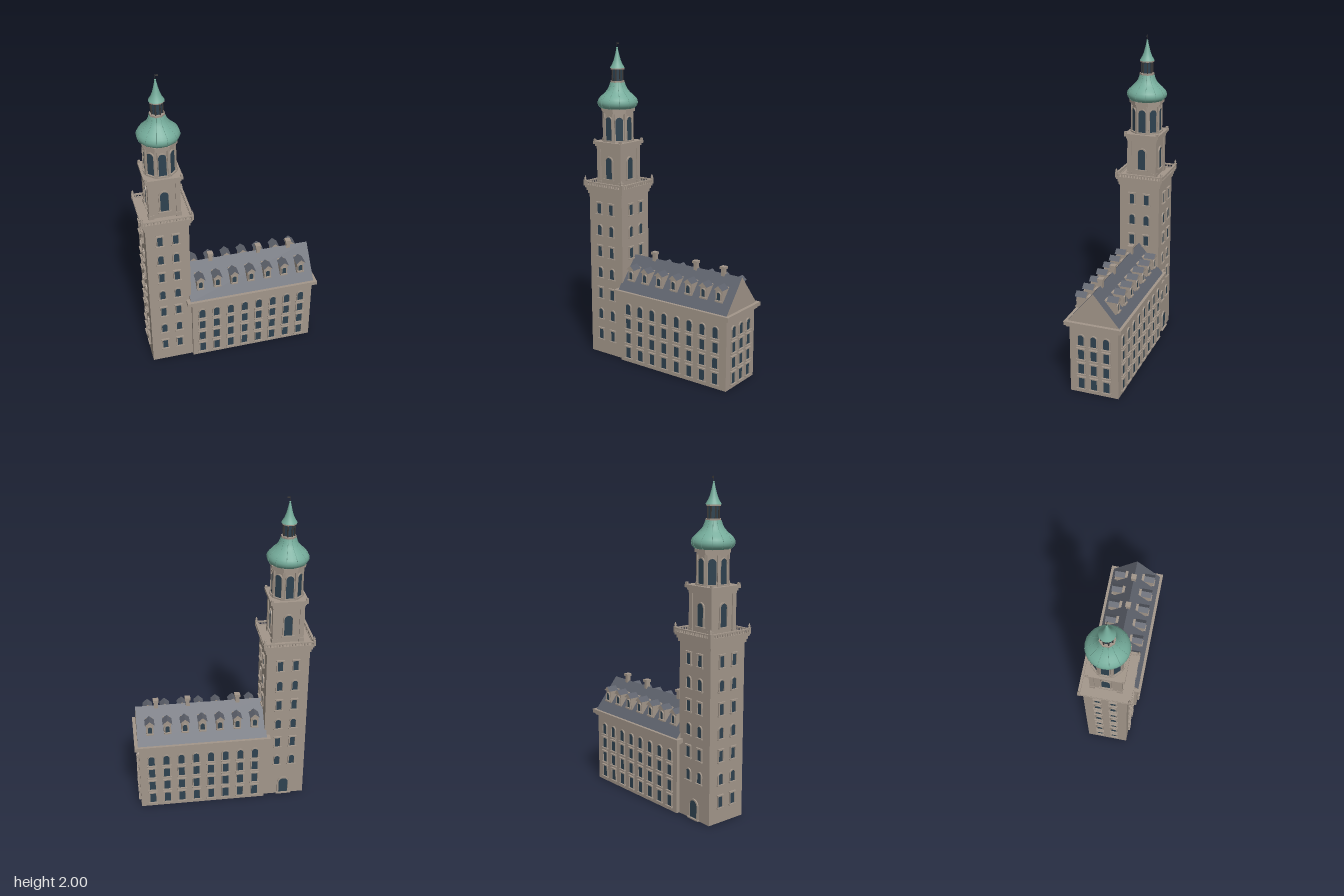
import * as THREE from 'three';

const mat = (name, color) => {
  const m = new THREE.MeshStandardMaterial({ color, side: THREE.DoubleSide });
  m.name = name;
  return m;
};

export function createModel() {
  const stone = mat('stone', 0xa2968a);
  const slate = mat('slate', 0x5e626c);
  const copper = mat('green copper', 0x74ab9a);
  const glass = mat('dark glass', 0x2e4250);
  const iron = mat('dark iron', 0x3c3a3a);
  const model = new THREE.Group();
  model.name = 'towerAndWing';

  const group = (name, parent, x = 0, y = 0, z = 0) => {
    const g = new THREE.Group();
    g.name = name;
    g.position.set(x, y, z);
    parent.add(g);
    return g;
  };
  const add = (parent, name, geo, material, x = 0, y = 0, z = 0) => {
    const m = new THREE.Mesh(geo, material);
    m.name = name;
    m.position.set(x, y, z);
    parent.add(m);
    return m;
  };
  // box given by its bottom and top height
  const block = (parent, name, w, y0, y1, d, material = stone, x = 0, z = 0) =>
    add(parent, name, new THREE.BoxGeometry(w, y1 - y0, d), material, x, (y0 + y1) / 2, z);
  // box without a floor
  const shell = (...args) => {
    const m = block(...args);
    const index = Array.from(m.geometry.index.array);
    index.splice(18, 6);
    m.geometry.setIndex(index);
    m.geometry.clearGroups();
    return m;
  };
  const flat = (geo) => {
    const g = geo.toNonIndexed();
    g.computeVertexNormals();
    return g;
  };
  const octagon = (parent, name, r, y0, y1, material = stone) =>
    add(parent, name, flat(new THREE.CylinderGeometry(r, r, y1 - y0, 8).rotateY(Math.PI / 8)), material, 0, (y0 + y1) / 2, 0);
  const lathe = (points, segments) =>
    new THREE.LatheGeometry(points.map(([r, y]) => new THREE.Vector2(r, y)), segments);

  // opening outline, base at y = 0
  const outline = (w, h, arched, Type = THREE.Shape, drop = 0) => {
    const s = new Type();
    s.moveTo(-w / 2, -drop);
    s.lineTo(w / 2, -drop);
    if (arched) {
      s.lineTo(w / 2, h - w / 2);
      s.absarc(0, h - w / 2, w / 2, 0, Math.PI, false);
    } else {
      s.lineTo(w / 2, h);
      s.lineTo(-w / 2, h);
    }
    s.lineTo(-w / 2, -drop);
    return s;
  };
  const makeWindow = (w, h, arched, trim = 0.006) => {
    const g = new THREE.Group();
    g.name = 'window';
    const pane = new THREE.ExtrudeGeometry(outline(w, h, arched), { depth: 0.006, bevelEnabled: false, curveSegments: 8 });
    add(g, 'pane', pane, glass, 0, 0, -0.003);
    const rim = outline(w + trim * 2, h + trim, arched, THREE.Shape, 0.002);
    rim.holes.push(outline(w, h, arched, THREE.Path));
    add(g, 'frame', new THREE.ExtrudeGeometry(rim, { depth: 0.008, bevelEnabled: false, curveSegments: 8 }), stone);
    block(g, 'sill', w + trim * 3.5, -0.008, 0, 0.024, stone, 0, 0.002);
    if (!arched) block(g, 'hood', w + trim * 3, h + trim, h + trim + 0.005, 0.022, stone, 0, 0.002);
    return g;
  };
  // put a copy on a wall at angle a, distance d and sideways offset
  const onWall = (parent, proto, a, d, offset, y) => {
    const c = proto.clone();
    c.position.set(Math.sin(a) * d + Math.cos(a) * offset, y, Math.cos(a) * d - Math.sin(a) * offset);
    c.rotation.y = a;
    parent.add(c);
  };

  // ---- tower shaft ----
  const tower = group('tower', model, -0.4);
  shell(tower, 'shaft', 0.264, 0, 1.07, 0.264);
  const rectWindow = makeWindow(0.032, 0.066, false);
  const archWindow = makeWindow(0.034, 0.066, true);
  for (let side = 0; side < 4; side++) {
    for (let row = 0; row < 7; row++) {
      if (side === 1 && row < 3) continue; // covered by the wing
      if (side === 2 && row === 0) continue; // door side
      for (const s of [-1, 1])
        onWall(tower, row % 2 ? archWindow : rectWindow, side * Math.PI / 2, 0.132, s * 0.048, 0.098 + row * 0.14);
    }
  }
  const door = makeWindow(0.06, 0.11, true, 0.01);
  door.name = 'door';
  onWall(tower, door, Math.PI, 0.132, 0, 0.01);

  // ---- balcony ----
  const balcony = group('balcony', tower);
  block(balcony, 'lowerMoulding', 0.278, 1.06, 1.08, 0.278);
  block(balcony, 'middleMoulding', 0.29, 1.08, 1.098, 0.29);
  block(balcony, 'platform', 0.306, 1.098, 1.113, 0.306);
  for (let i = 0; i < 4; i++) {
    const edge = group('balustrade', balcony);
    edge.rotation.y = i * Math.PI / 2;
    block(edge, 'rail', 0.314, 1.133, 1.14, 0.014, stone, 0, 0.15);
    block(edge, 'plinth', 0.306, 1.113, 1.117, 0.012, stone, 0, 0.15);
    for (let k = -7; k <= 7; k++) block(edge, 'baluster', 0.007, 1.115, 1.135, 0.007, stone, k * 0.019, 0.15);
    block(edge, 'cornerPost', 0.016, 1.11, 1.146, 0.016, stone, 0.15, 0.15);
    add(edge, 'finial', lathe([[0.009, 0], [0.005, 0.006], [0.008, 0.012], [0.003, 0.02], [0, 0.03]], 8), stone, 0.15, 1.145, 0.15);
  }

  // ---- square belfry ----
  const belfry = group('belfry', tower);
  block(belfry, 'walls', 0.178, 1.11, 1.37, 0.178);
  block(belfry, 'lowerBand', 0.196, 1.345, 1.36, 0.196);
  block(belfry, 'cornice', 0.226, 1.374, 1.392, 0.226);
  block(belfry, 'corniceBed', 0.206, 1.36, 1.374, 0.206);
  const belfryWindow = makeWindow(0.05, 0.135, true, 0.008);
  for (let i = 0; i < 4; i++) {
    onWall(belfry, belfryWindow, i * Math.PI / 2, 0.089, 0, 1.158);
    const corner = group('corner', belfry);
    corner.rotation.y = i * Math.PI / 2;
    block(corner, 'pilaster', 0.028, 1.112, 1.35, 0.028, stone, 0.082, 0.082);
    block(corner, 'pilasterBase', 0.034, 1.112, 1.14, 0.034, stone, 0.082, 0.082);
    block(corner, 'cornerBlock', 0.014, 1.39, 1.405, 0.014, stone, 0.104, 0.104);
  }

  // ---- octagonal drum ----
  const drum = group('drum', tower);
  octagon(drum, 'walls', 0.092, 1.39, 1.58);
  octagon(drum, 'lowerCornice', 0.1, 1.566, 1.58);
  octagon(drum, 'upperCornice', 0.11, 1.58, 1.598);
  const drumWindow = makeWindow(0.046, 0.145, true, 0.005);
  for (let i = 0; i < 8; i++) {
    const a = i * Math.PI / 4;
    onWall(drum, drumWindow, a, 0.085, 0, 1.402);
    const rib = group('rib', drum);
    rib.rotation.y = a + Math.PI / 8;
    block(rib, 'pilaster', 0.014, 1.392, 1.57, 0.014, stone, 0, 0.092);
    block(rib, 'pilasterBase', 0.018, 1.392, 1.412, 0.018, stone, 0, 0.092);
  }

  // ---- onion dome, lantern and spire ----
  const crown = group('crown', tower);
  const dome = [[0.1, 1.597], [0.115, 1.608], [0.123, 1.622], [0.124, 1.637], [0.118, 1.654], [0.103, 1.671],
    [0.082, 1.69], [0.064, 1.71], [0.052, 1.732], [0.044, 1.757]];
  add(crown, 'dome', lathe(dome, 32), copper);
  const ribPath = new THREE.CatmullRomCurve3(dome.map(([r, y]) => new THREE.Vector3(0, y, r)));
  const ribGeo = new THREE.TubeGeometry(ribPath, 20, 0.0018, 5);
  for (let i = 0; i < 12; i++) add(crown, 'domeRib', ribGeo, copper).rotation.y = (i + 0.5) * Math.PI / 6;
  octagon(crown, 'lanternBase', 0.046, 1.755, 1.766);
  octagon(crown, 'lanternCore', 0.03, 1.766, 1.84, glass);
  for (let i = 0; i < 8; i++) {
    const a = (i + 0.5) * Math.PI / 4;
    add(crown, 'lanternColumn', new THREE.CylinderGeometry(0.0045, 0.0045, 0.076, 8), iron, Math.sin(a) * 0.034, 1.803, Math.cos(a) * 0.034);
  }
  octagon(crown, 'lanternCornice', 0.045, 1.836, 1.845);
  add(crown, 'spire', lathe([[0.046, 1.844], [0.042, 1.852], [0.032, 1.868], [0.022, 1.892], [0.013, 1.925], [0.004, 1.965], [0, 1.968]], 24), copper);
  add(crown, 'ball', new THREE.SphereGeometry(0.006, 10, 8), copper, 0, 1.966, 0);
  add(crown, 'pole', new THREE.CylinderGeometry(0.0015, 0.0015, 0.04, 6), iron, 0, 1.98, 0);
  block(crown, 'vane', 0.016, 1.988, 1.998, 0.002, iron, 0.008);

  // ---- wing ----
  const wing = group('wing', model);
  const x0 = -0.268, x1 = 0.53, mid = (x0 + x1) / 2;
  shell(wing, 'walls', x1 - x0, 0, 0.445, 0.306, stone, mid);
  block(wing, 'corniceBed', 0.83, 0.438, 0.45, 0.336, stone, 0.13);
  block(wing, 'cornice', 0.856, 0.45, 0.474, 0.36, stone, 0.128);
  const wingRows = [
    [0.03, makeWindow(0.038, 0.07, false)],
    [0.13, makeWindow(0.038, 0.066, false)],
    [0.228, makeWindow(0.038, 0.064, false)],
    [0.32, makeWindow(0.038, 0.07, true)],
  ];
  for (const [y, proto] of wingRows) {
    for (let i = 0; i < 8; i++) {
      const x = -0.204 + i * 0.094;
      onWall(wing, proto, 0, 0.153, x, y);
      onWall(wing, proto, Math.PI, 0.153, -x, y);
    }
    const end = group('endWindows', wing, x1);
    for (const z of [-0.08, 0, 0.08]) onWall(end, proto, Math.PI / 2, 0, z, y);
  }

  // triangular prism along z: stone gables, slate slopes
  const prism = (half, rise, length) => {
    const s = new THREE.Shape([[-half, 0], [half, 0], [0, rise]].map(([x, y]) => new THREE.Vector2(x, y)));
    return new THREE.ExtrudeGeometry(s, { depth: length, bevelEnabled: false });
  };
  add(wing, 'roof', prism(0.162, 0.196, 0.813).rotateY(Math.PI / 2), [stone, slate], -0.278, 0.474, 0);

  // dormers on both slopes
  const dormerWindow = makeWindow(0.026, 0.048, true, 0.005);
  for (const a of [0, Math.PI]) {
    const slope = group('dormers', wing);
    slope.rotation.y = a;
    for (let i = 0; i < 7; i++) {
      const x = (-0.204 + i * 0.1097) * (a ? -1 : 1);
      const d = group('dormer', slope, x);
      block(d, 'body', 0.046, 0.53, 0.612, 0.08, stone, 0, 0.083);
      onWall(d, dormerWindow, 0, 0.123, 0, 0.546);
      add(d, 'dormerRoof', prism(0.03, 0.027, 0.07), [stone, slate], 0, 0.609, 0.065);
    }
  }

  // chimneys on the ridge
  for (const x of [-0.11, 0.205, 0.405]) {
    const c = group('chimney', wing, x);
    block(c, 'stack', 0.025, 0.63, 0.7, 0.025);
    block(c, 'cap', 0.035, 0.698, 0.714, 0.035);
  }
  return model;
}
